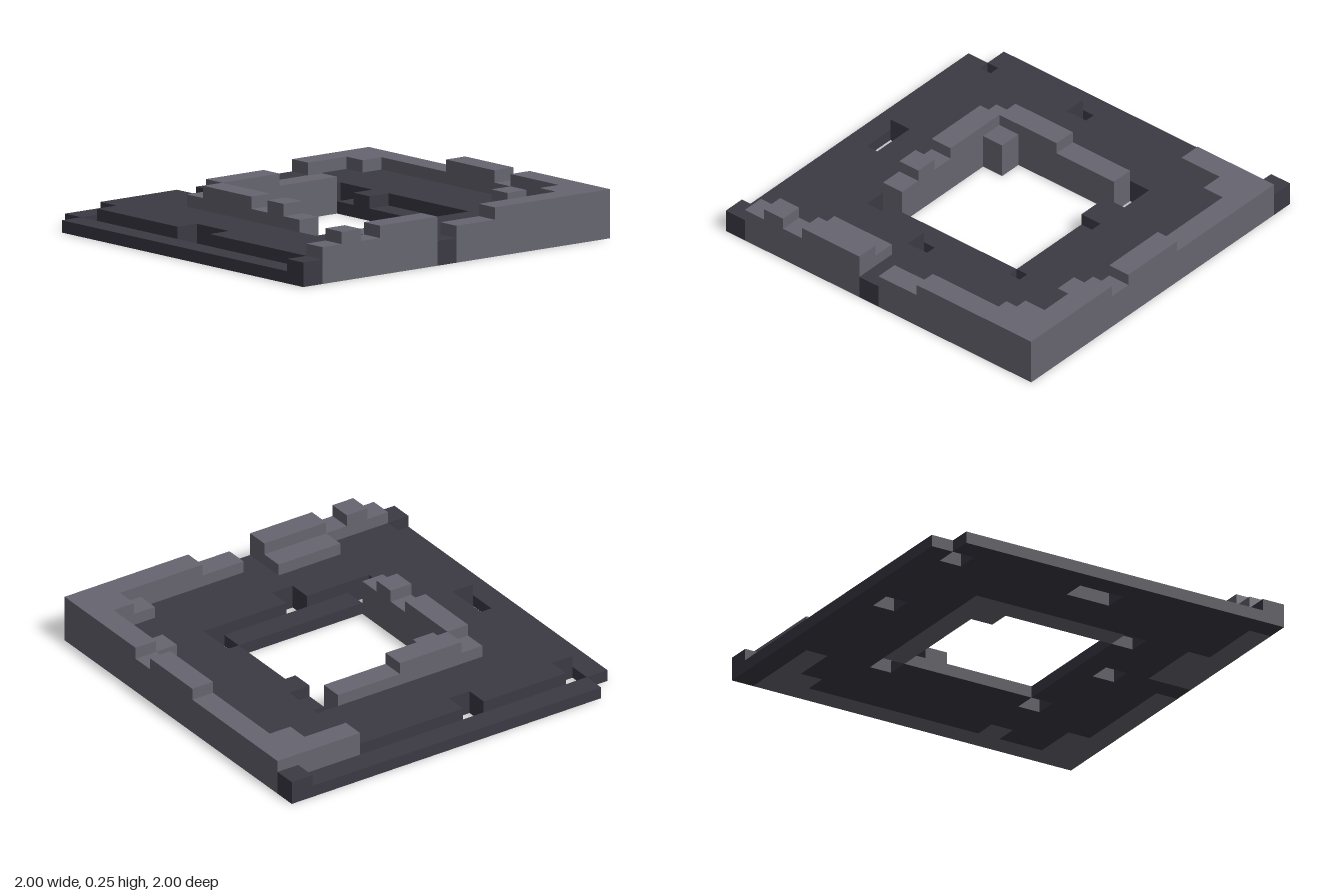
import * as THREE from 'three';
import { mergeGeometries } from 'three/addons/utils/BufferGeometryUtils.js';

const CELL = 0.125;

// Floor plan, back row first, left column at -x. A dot is a hole.
const PLAN = [
  '.rrrrrrrrrrrrrrf',
  'r.ffff.fffffwwww',
  'rfffffffffffffww',
  'rffffffffffffffw',
  'rfffpPPPppp.fffw',
  'rfffPp.....sfffw',
  'rfffP......ffffw',
  'r.ffP......sfffW',
  'r.ffp......sfffW',
  'rfffP......sfffW',
  'rfffp......sfffw',
  'rfff.ssssss.ffwW',
  'rffffff.fffffffW',
  'rffffffffffffffW',
  'rfffwwwffffffwWW',
  'fwWwWWWfwwWWWWWW',
];

// Joins equal cells into the largest rectangles, each one a box standing on y = 0
function buildPart(symbol, height) {
  const open = PLAN.map((row) => [...row].map((c) => c === symbol));
  const boxes = [];
  for (let j = 0; j < 16; j++) {
    for (let i = 0; i < 16; i++) {
      if (!open[j][i]) continue;
      let w = 1, d = 1;
      while (i + w < 16 && open[j][i + w]) w++;
      const rowFree = (r) => r < 16 && open[r].slice(i, i + w).every(Boolean);
      while (rowFree(j + d)) d++;
      for (let r = j; r < j + d; r++) open[r].fill(false, i, i + w);
      const box = new THREE.BoxGeometry(w * CELL, height, d * CELL);
      box.translate((i + w / 2) * CELL - 1, height / 2, (j + d / 2) * CELL - 1);
      boxes.push(box);
    }
  }
  return mergeGeometries(boxes);
}

export function createModel() {
  const darkStone = new THREE.MeshStandardMaterial({ color: 0x3b3a44 });
  darkStone.name = 'darkStone';
  const lightStone = new THREE.MeshStandardMaterial({ color: 0x666570 });
  lightStone.name = 'lightStone';

  const parts = [
    ['outerLedge', 'r', 0.0625, darkStone],
    ['innerLedge', 's', 0.0625, darkStone],
    ['floor', 'f', 0.125, darkStone],
    ['outerWallLow', 'w', 0.1875, lightStone],
    ['outerWallHigh', 'W', 0.25, lightStone],
    ['innerWallLow', 'p', 0.1875, lightStone],
    ['innerWallHigh', 'P', 0.25, lightStone],
  ];

  const model = new THREE.Group();
  model.name = 'ruinedFloorTile';
  for (const [name, symbol, height, material] of parts) {
    const mesh = new THREE.Mesh(buildPart(symbol, height), material);
    mesh.name = name;
    model.add(mesh);
  }
  return model;
}
